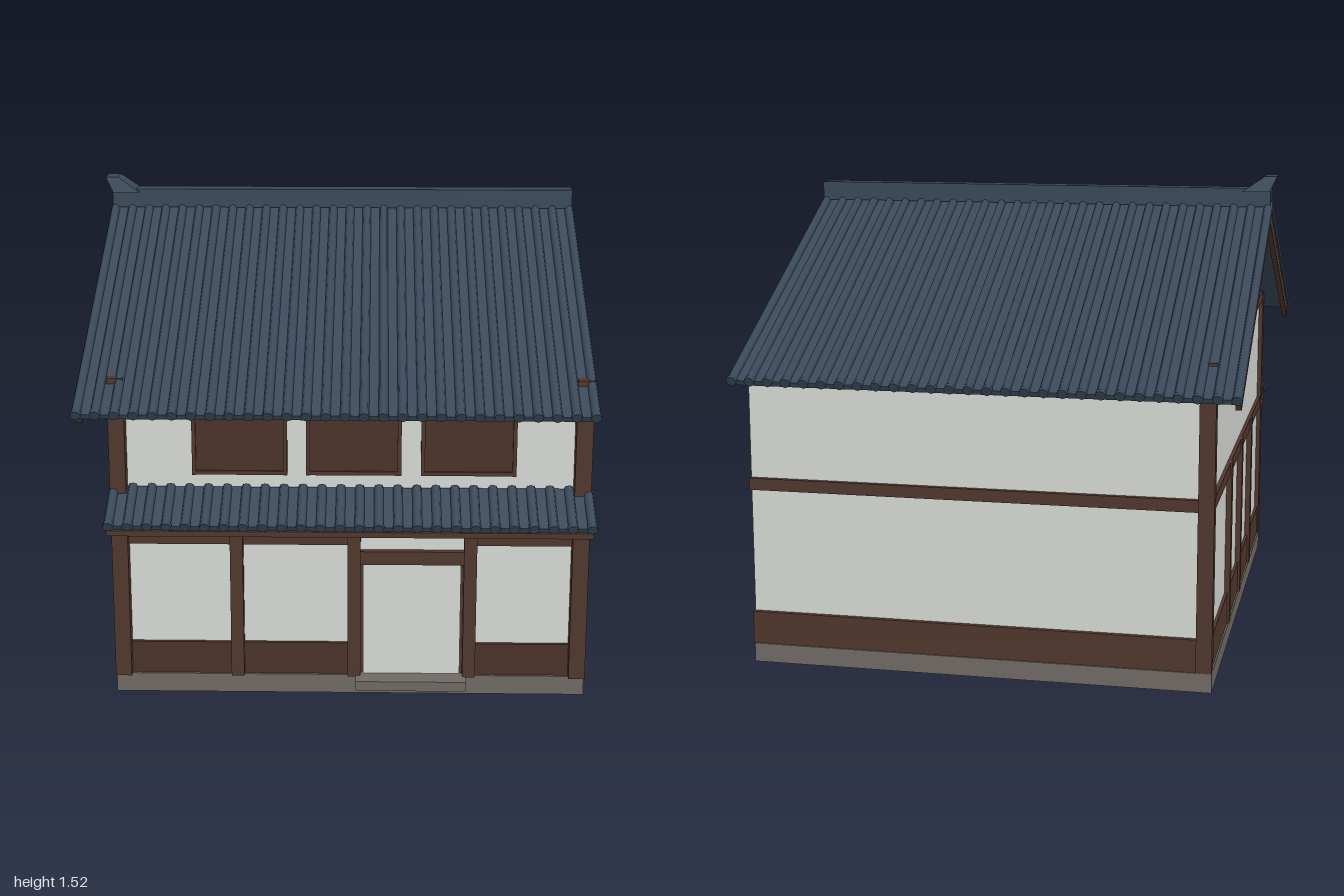
import * as THREE from 'three';
import { mergeGeometries } from 'three/addons/utils/BufferGeometryUtils.js';

const material = (name, color) => {
  const m = new THREE.MeshStandardMaterial({ color });
  m.name = name;
  return m;
};

export function createModel() {
  const plaster = material('plaster', 0xd6d9d4);
  const wood = material('dark wood', 0x50372d);
  const panelWood = material('shutter wood', 0x4b3229);
  const tile = material('roof tile', 0x394859);
  const stone = material('stone', 0x706a65);
  const model = new THREE.Group();
  model.name = 'townhouse';

  const add = (parent, name, geometry, mat) => {
    const mesh = new THREE.Mesh(geometry, mat);
    mesh.name = name;
    parent.add(mesh);
    return mesh;
  };
  // Box given by its limits on each axis
  const box = (name, mat, x0, x1, y0, y1, z0, z1, parent = model) => {
    const g = new THREE.BoxGeometry(x1 - x0, y1 - y0, z1 - z0);
    g.translate((x0 + x1) / 2, (y0 + y1) / 2, (z0 + z1) / 2);
    return add(parent, name, g, mat);
  };

  // Foundation and door step
  box('foundation', stone, -0.695, 0.778, 0.002, 0.063, -0.84, 0.84);
  box('doorStep', stone, 0.06, 0.405, 0.035, 0.066, 0.82, 0.9);

  // Plaster body: closed lower storey, upper walls open on one side, gable prism
  box('lowerStorey', plaster, -0.68, 0.78, 0, 0.73, -0.82, 0.82);
  box('upperFrontWall', plaster, -0.68, 0.78, 0.73, 1.03, 0.805, 0.82);
  box('upperBackWall', plaster, -0.68, 0.78, 0.73, 1.03, -0.82, -0.805);
  box('upperSideWall', plaster, -0.68, -0.665, 0.73, 1.03, -0.805, 0.805);
  const triangle = new THREE.Shape([
    new THREE.Vector2(-0.82, 1.03), new THREE.Vector2(0.82, 1.03), new THREE.Vector2(0, 1.422),
  ]);
  const gable = new THREE.ExtrudeGeometry(triangle, { depth: 1.46, bevelEnabled: false });
  gable.rotateY(Math.PI / 2).translate(-0.68, 0, 0);
  add(model, 'gable', gable, plaster);

  // Corner posts
  box('frontCornerPost', wood, -0.695, -0.645, 0.063, 1.03, 0.8, 0.86);
  box('frontCornerPost', wood, 0.728, 0.779, 0.063, 1.03, 0.8, 0.86);
  box('backCornerPost', wood, -0.695, -0.645, 0.063, 1.03, -0.842, -0.8);

  // Ground floor front: posts, skirting, lintels and door
  for (const x of [-0.31, 0.055, 0.415]) box('frontPost', wood, x - 0.02, x + 0.02, 0.063, 0.57, 0.81, 0.855);
  for (const [x0, x1] of [[-0.645, -0.33], [-0.29, 0.035], [0.435, 0.728]]) {
    box('frontSkirting', panelWood, x0, x1, 0.063, 0.167, 0.81, 0.832);
    box('frontLintel', wood, x0, x1, 0.495, 0.54, 0.81, 0.838);
  }
  box('doorLintel', wood, 0.075, 0.395, 0.432, 0.475, 0.81, 0.842);
  box('doorFrame', wood, 0.075, 0.395, 0.063, 0.432, 0.81, 0.826);
  box('door', plaster, 0.083, 0.387, 0.066, 0.43, 0.826, 0.832);

  // Upper windows with closed shutters
  for (const x of [-0.297, 0.053, 0.405]) {
    const windowGroup = new THREE.Group();
    windowGroup.name = 'upperWindow';
    model.add(windowGroup);
    box('shutter', panelWood, x - 0.135, x + 0.135, 0.73, 0.928, 0.815, 0.831, windowGroup);
    for (const s of [-1, 1]) {
      const cx = x + s * 0.14, cy = 0.829 + s * 0.102;
      box('frameSide', wood, cx - 0.006, cx + 0.006, 0.72, 0.938, 0.815, 0.838, windowGroup);
      box('frameRail', wood, x - 0.134, x + 0.134, cy - 0.006, cy + 0.006, 0.815, 0.838, windowGroup);
    }
  }

  // Back timbers
  box('backSkirting', wood, -0.645, 0.782, 0.063, 0.168, -0.836, -0.815);
  box('backMidBeam', wood, -0.645, 0.782, 0.57, 0.608, -0.836, -0.815);
  box('backTopBeam', wood, -0.645, 0.782, 0.98, 1.015, -0.836, -0.815);

  // Timbers of the left-hand gable wall
  box('sideSkirting', wood, -0.69, -0.675, 0.063, 0.168, -0.8, 0.8);
  box('sideMidBeam', wood, -0.692, -0.675, 0.57, 0.61, -0.8, 0.8);
  box('sideTopBeam', wood, -0.692, -0.675, 0.98, 1.02, -0.8, 0.8);
  for (const z of [-0.32, 0.04, 0.4]) box('sidePost', wood, -0.698, -0.675, 0.063, 0.61, z - 0.02, z + 0.02);

  // Sloping tiled plane: a flat bed, round ribs and eave end caps, running down along local +z
  const tiledSlope = (name, halfWidth, length, ribs) => {
    const slope = new THREE.Group();
    slope.name = name;
    slope.rotation.order = 'YXZ';
    box('tileBed', tile, -halfWidth, halfWidth, -0.017, 0, 0, length - 0.006, slope);
    const ribParts = [], capParts = [];
    for (let i = 0; i < ribs; i++) {
      const x = -halfWidth + 0.01 + (i / (ribs - 1)) * (2 * halfWidth - 0.02);
      const rib = new THREE.CylinderGeometry(0.0145, 0.0145, length - 0.01, 8);
      ribParts.push(rib.rotateX(Math.PI / 2).translate(x, 0, (length - 0.01) / 2));
      const cap = new THREE.CylinderGeometry(0.0165, 0.0165, 0.014, 8);
      capParts.push(cap.rotateX(Math.PI / 2).translate(x, 0, length - 0.007));
    }
    add(slope, 'tileRibs', mergeGeometries(ribParts), tile);
    add(slope, 'eaveCaps', mergeGeometries(capParts), tile);
    model.add(slope);
    return slope;
  };

  // Main roof, with a bargeboard under the left-hand edge of each slope
  const pitch = Math.atan(0.485);
  for (const s of [1, -1]) {
    const slope = tiledSlope(s > 0 ? 'frontRoof' : 'backRoof', 0.78, 1.103, 28);
    slope.position.y = 1.43;
    slope.rotation.set(pitch, s > 0 ? 0 : Math.PI, 0);
    const x = -0.769 * s;
    box('bargeboard', wood, x - 0.009, x + 0.009, -0.062, -0.024, 0.01, 1.065, slope);
  }

  // Ridge and its flared end ornament
  box('ridge', tile, -0.778, 0.78, 1.42, 1.482, -0.034, 0.034);
  const flare = new THREE.Shape([
    new THREE.Vector2(-0.775, 1.472), new THREE.Vector2(-0.685, 1.472),
    new THREE.Vector2(-0.758, 1.523), new THREE.Vector2(-0.8, 1.523),
  ]);
  const ornament = new THREE.ExtrudeGeometry(flare, { depth: 0.1, bevelEnabled: false }).translate(0, 0, -0.05);
  const p = ornament.attributes.position;
  for (let i = 0; i < p.count; i++) if (p.getY(i) > 1.5) p.setZ(i, p.getZ(i) * 0.84);
  ornament.computeVertexNormals();
  add(model, 'ridgeOrnament', ornament, tile);

  // Awning over the ground floor, its boarding and soffit
  const awning = tiledSlope('awning', 0.738, 0.18, 26);
  awning.position.set(0.043, 0.68, 0.83);
  awning.rotation.set(0.45, 0, 0);
  box('awningBoard', wood, -0.73, 0.73, -0.034, -0.018, 0.01, 0.155, awning);
  box('awningSoffit', wood, -0.695, 0.778, 0.565, 0.582, 0.82, 0.968);

  return model;
}
